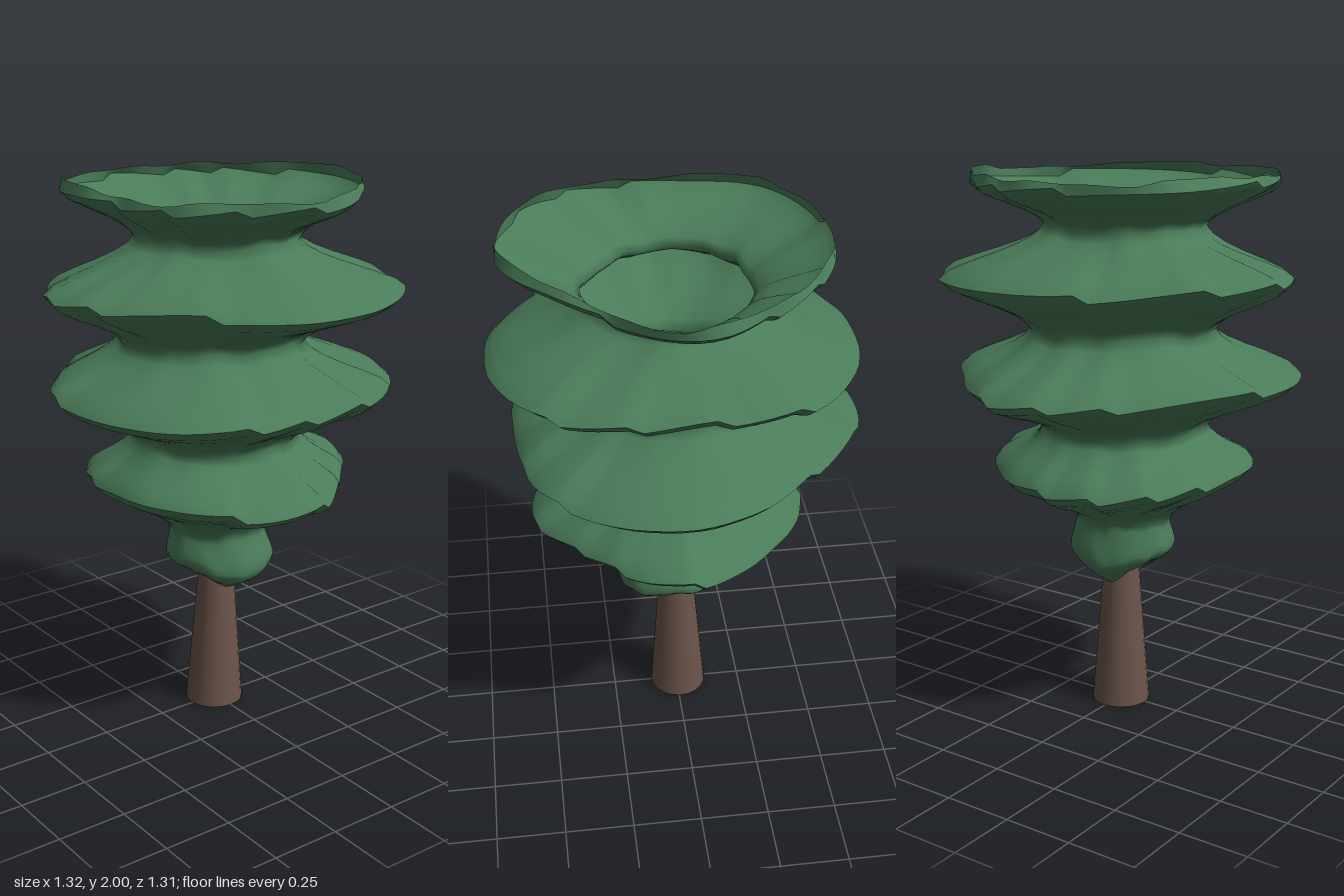
import * as THREE from 'three';

const SEGMENTS = 72;
const STEPS = 6;

// Levels of the foliage shell: height, reach in eight directions (front, front left, left,
// back left, back, back right, right, front right), wobble of the radius, sway of the height,
// dip of the sides, and whether the edge is sharp and ragged
const LEVELS = [
  { y: 0.515, reach: [0.062, 0.07, 0.08, 0.07, 0.062, 0.07, 0.075, 0.065], wobble: 0.02, sway: 0.004, dip: 0.03 },
  { y: 0.61, reach: [0.20, 0.20, 0.22, 0.22, 0.195, 0.19, 0.175, 0.175], wobble: 0.02, sway: 0.008, dip: 0.02 },
  { y: 0.73, reach: [0.18, 0.18, 0.185, 0.18, 0.175, 0.165, 0.15, 0.165], wobble: 0.02, sway: 0.008, dip: 0 },
  { y: 0.925, reach: [0.455, 0.50, 0.535, 0.465, 0.535, 0.455, 0.47, 0.485], wobble: 0.012, sway: 0.015, dip: 0.01, sharp: true },
  { y: 1.08, reach: [0.30, 0.31, 0.30, 0.30, 0.31, 0.30, 0.295, 0.30], wobble: 0.02, sway: 0.01, dip: 0 },
  { y: 1.27, reach: [0.63, 0.655, 0.58, 0.635, 0.65, 0.58, 0.665, 0.585], wobble: 0.01, sway: 0.015, dip: 0.01, sharp: true },
  { y: 1.445, reach: [0.345, 0.335, 0.32, 0.32, 0.32, 0.33, 0.345, 0.345], wobble: 0.02, sway: 0.01, dip: 0 },
  { y: 1.63, reach: [0.66, 0.58, 0.66, 0.67, 0.59, 0.655, 0.605, 0.555], wobble: 0.01, sway: 0.015, dip: 0.01, sharp: true },
  { y: 1.805, reach: [0.295, 0.295, 0.325, 0.295, 0.31, 0.275, 0.255, 0.285], wobble: 0.02, sway: 0.01, dip: 0 },
  { y: 1.96, reach: [0.49, 0.58, 0.595, 0.515, 0.60, 0.53, 0.53, 0.55], wobble: 0.01, sway: 0.014, dip: 0, sharp: true },
  { y: 1.992, reach: [0.475, 0.57, 0.585, 0.505, 0.595, 0.52, 0.52, 0.54], wobble: 0.01, sway: 0.012, dip: 0 },
];

// Seeded random numbers in 0..1
function seeded(seed) {
  let s = seed;
  return () => (s = (s * 16807) % 2147483647) / 2147483647;
}

// Closed wavy function of an angle, about -1..1
function wave(random) {
  const terms = [3, 5, 8, 13].map((n) => [n, random() * Math.PI * 2, 1.2 / Math.sqrt(n)]);
  return (a) => Math.max(-1, Math.min(1,
    terms.reduce((sum, [n, phase, size]) => sum + size * Math.sin(n * a + phase), 0)));
}

// Uneven saw teeth around the circle, -1..1: long slopes with sudden drops
function teeth(random) {
  const phase = random() * 7;
  return (a) => {
    const u = (a / (Math.PI * 2)) * 9 + phase + 0.6 * Math.sin(2 * a + phase) + 9;
    return 2 * (u - Math.floor(u)) - 1;
  };
}

// One uneven ring of points around the tree
function ring({ y, reach, wobble, sway, dip, sharp }, random) {
  const outline = new THREE.CatmullRomCurve3(reach.map((r, k) =>
    new THREE.Vector3(r * Math.sin((k * Math.PI) / 4), 0, r * Math.cos((k * Math.PI) / 4))),
  true, 'catmullrom', 0.55);
  const radial = wave(random);
  const vertical = sharp ? teeth(random) : wave(random);
  return Array.from({ length: SEGMENTS }, (_, i) => {
    const a = (i / SEGMENTS) * Math.PI * 2;
    const p = outline.getPoint(i / SEGMENTS).multiplyScalar(1 + wobble * radial(a));
    p.y = Math.min(2, y + sway * vertical(a) + dip * Math.cos(2 * a));
    return p;
  });
}

// Flare from a neck (0) to a tier edge (1): hollow near the neck, blunt near the edge
const flare = (t) => (1 - t) * t ** 1.4 + t * t * t * (3 - 2 * t);

// How the radius changes on the way from level n to the next
function ease(n, t) {
  if (n === 0) return Math.sin((t * Math.PI) / 2);
  if (n === 1) return t * t * (3 - 2 * t);
  if (n === LEVELS.length - 2) return t;
  return LEVELS[n + 1].sharp ? flare(t) : 1 - flare(1 - t);
}

// Open shell of flared tiers; sharp levels get doubled rows so the edge stays crisp
function foliageGeometry() {
  const random = seeded(4217);
  const rings = LEVELS.map((level) => ring(level, random));
  const positions = [];
  const indices = [];
  let row = 0;
  const addRow = (lower, upper, t, f, join) => {
    for (let i = 0; i < SEGMENTS; i++) {
      const p = lower[i], q = upper[i];
      positions.push(p.x + (q.x - p.x) * f, p.y + (q.y - p.y) * t, p.z + (q.z - p.z) * f);
      if (join) {
        const j = (i + 1) % SEGMENTS;
        const a = (row - 1) * SEGMENTS + i, b = (row - 1) * SEGMENTS + j;
        const c = row * SEGMENTS + j, d = row * SEGMENTS + i;
        indices.push(a, b, c, a, c, d);
      }
    }
    row++;
  };
  for (let n = 0; n < rings.length - 1; n++) {
    if (n === 0 || LEVELS[n].sharp) addRow(rings[n], rings[n + 1], 0, 0, false);
    for (let s = 1; s <= STEPS; s++) {
      addRow(rings[n], rings[n + 1], s / STEPS, ease(n, s / STEPS), true);
    }
  }
  const geometry = new THREE.BufferGeometry();
  geometry.setAttribute('position', new THREE.Float32BufferAttribute(positions, 3));
  geometry.setIndex(indices);
  geometry.computeVertexNormals();
  return geometry;
}

// Hollow tapering trunk with a slight lean, running on inside the foliage
function trunkGeometry() {
  const profile = [[0.108, 0], [0.067, 0.54], [0.015, 1.2]];
  const geometry = new THREE.LatheGeometry(profile.map(([r, y]) => new THREE.Vector2(r, y)), 20);
  const position = geometry.attributes.position;
  for (let i = 0; i < position.count; i++) {
    const y = position.getY(i);
    position.setX(i, position.getX(i) - 0.007 + 0.014 * y);
    position.setZ(i, position.getZ(i) - 0.008 * y);
  }
  return geometry;
}

export function createModel() {
  const leafGreen = new THREE.MeshStandardMaterial({ color: 0x4a7c59, side: THREE.DoubleSide });
  leafGreen.name = 'leaf green';
  const barkBrown = new THREE.MeshStandardMaterial({ color: 0x6b544b, side: THREE.DoubleSide });
  barkBrown.name = 'bark brown';

  const tree = new THREE.Group();
  tree.name = 'tree';

  const trunk = new THREE.Mesh(trunkGeometry(), barkBrown);
  trunk.name = 'trunk';

  // Stacked flared tiers, open at the top
  const foliage = new THREE.Mesh(foliageGeometry(), leafGreen);
  foliage.name = 'foliage';

  tree.add(trunk, foliage);
  return tree;
}
